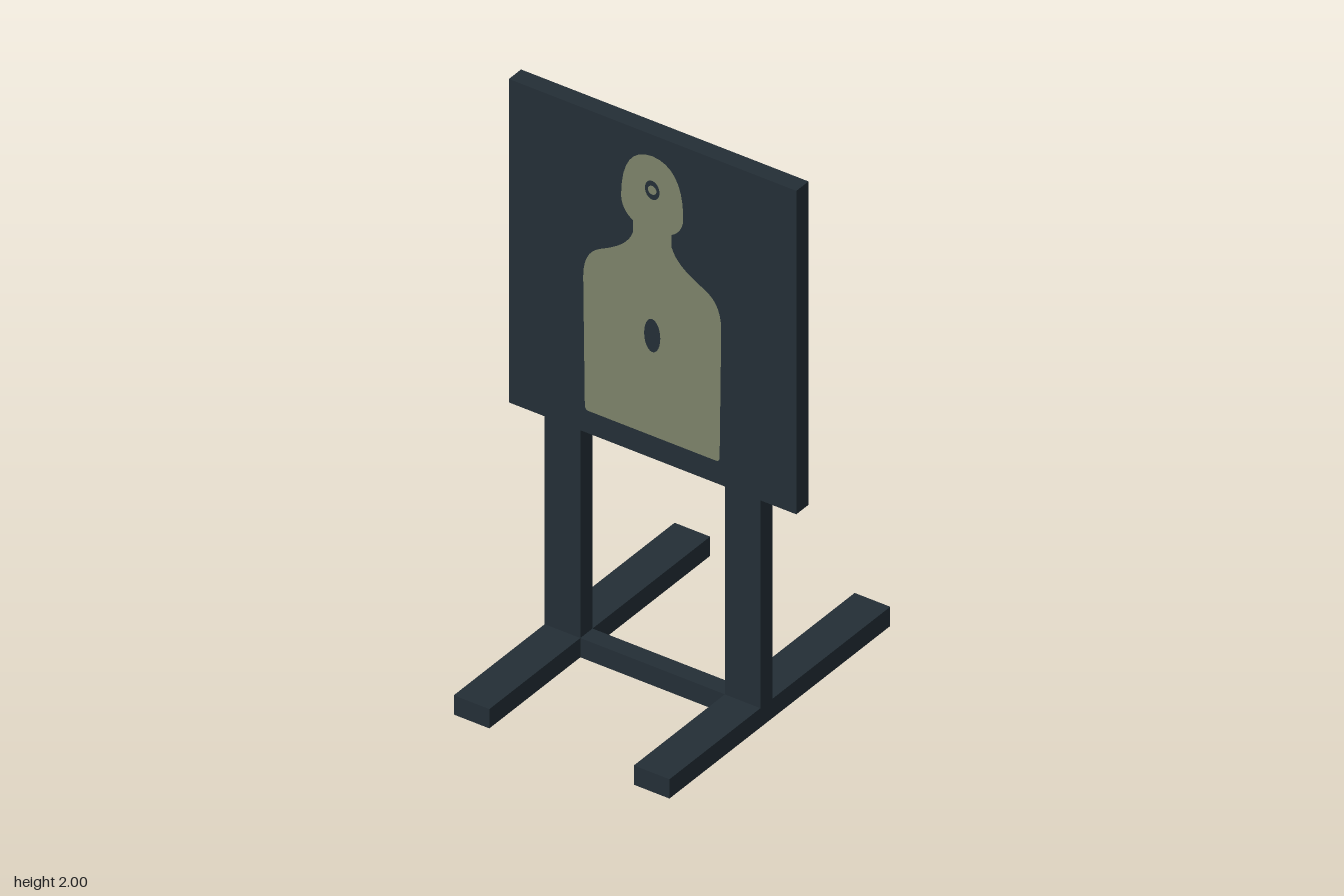
import * as THREE from 'three';

export function createModel() {
  const model = new THREE.Group();
  const dark = new THREE.MeshStandardMaterial({ color: 0x232e36 });
  dark.name = 'dark slate';
  const olive = new THREE.MeshStandardMaterial({ color: 0x7c826a });
  olive.name = 'olive';

  // Box given by its lower and upper corners
  function box(name, x0, x1, y0, y1, z0, z1) {
    const mesh = new THREE.Mesh(new THREE.BoxGeometry(x1 - x0, y1 - y0, z1 - z0), dark);
    mesh.position.set((x0 + x1) / 2, (y0 + y1) / 2, (z0 + z1) / 2);
    mesh.name = name;
    model.add(mesh);
  }

  const zBack = 0.038, zFront = 0.102;
  box('board', -0.533, 0.533, 0.825, 2, zBack, zFront);
  box('crossbar', -0.268, 0.268, 0, 0.07, zBack, zFront);
  for (const [side, x0, x1] of [['left', 0.268, 0.4], ['right', -0.4, -0.268]]) {
    box(side + 'Post', x0, x1, 0.07, 0.825, zBack, zFront);
    box(side + 'Foot', x0, x1, 0, 0.07, -0.58, 0.58);
  }

  // Painted silhouette: one half of the outline, mirrored
  const s = new THREE.Shape();
  s.moveTo(0, 0.908);
  s.lineTo(0.235, 0.908);
  s.quadraticCurveTo(0.25, 0.908, 0.25, 0.925);
  s.lineTo(0.256, 1.39);
  s.bezierCurveTo(0.255, 1.47, 0.225, 1.5, 0.18, 1.52);
  s.bezierCurveTo(0.12, 1.55, 0.085, 1.58, 0.072, 1.62);
  s.lineTo(0.072, 1.665);
  s.bezierCurveTo(0.1, 1.68, 0.118, 1.71, 0.115, 1.75);
  s.bezierCurveTo(0.113, 1.86, 0.075, 1.922, 0, 1.924);
  const half = s.getPoints(8);
  const mirrored = half.slice(1, -1).reverse().map(p => new THREE.Vector2(-p.x, p.y));
  const outline = new THREE.Shape([...half, ...mirrored]);

  // Bare patches on the chest and head
  const chest = new THREE.Path();
  chest.absellipse(0, 1.272, 0.03, 0.06, 0, Math.PI * 2, true);
  const head = new THREE.Path();
  head.absellipse(0, 1.8, 0.027, 0.034, 0, Math.PI * 2, true);
  outline.holes.push(chest, head);

  const silhouette = new THREE.Mesh(new THREE.ShapeGeometry(outline, 12), olive);
  silhouette.position.z = zFront + 0.002;
  silhouette.name = 'silhouette';
  model.add(silhouette);

  // Olive centre left inside the head ring
  const dot = new THREE.Mesh(new THREE.CircleGeometry(0.016, 16), olive);
  dot.position.set(0, 1.8, zFront + 0.002);
  dot.name = 'headRingCentre';
  model.add(dot);

  return model;
}
